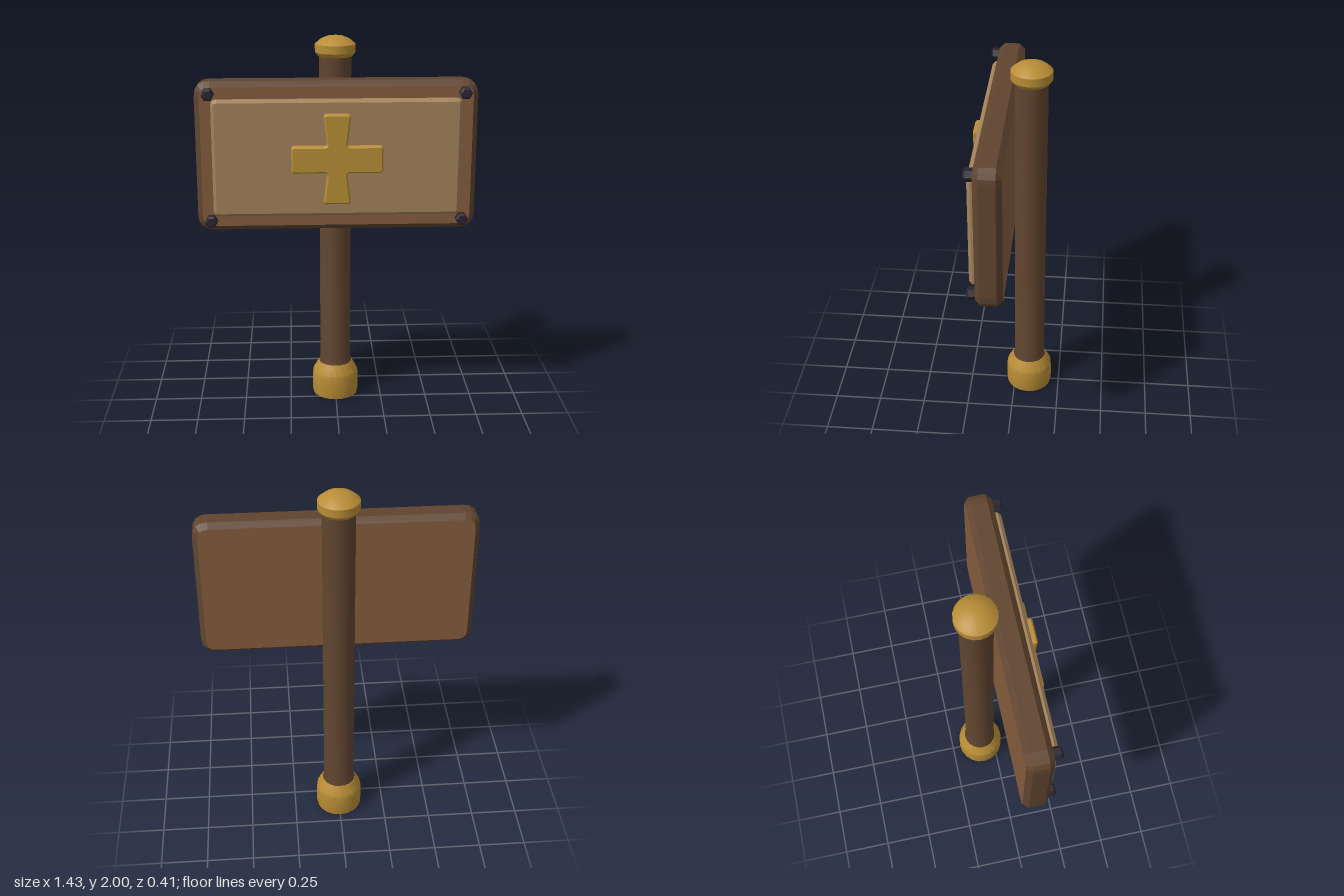
import * as THREE from 'three';
import { toCreasedNormals } from 'three/addons/utils/BufferGeometryUtils.js';

const material = (name, color) => {
  const m = new THREE.MeshStandardMaterial({ color });
  m.name = name;
  return m;
};

// Closed outline with every corner rounded
function roundedOutline(corners, radius) {
  const pts = corners.map(([x, y]) => new THREE.Vector2(x, y));
  const toward = (a, b) => b.clone().sub(a).setLength(radius).add(a);
  const shape = new THREE.Shape();
  pts.forEach((p, i) => {
    const start = toward(p, pts[(i + pts.length - 1) % pts.length]);
    const end = toward(p, pts[(i + 1) % pts.length]);
    if (i === 0) shape.moveTo(start.x, start.y);
    else shape.lineTo(start.x, start.y);
    shape.quadraticCurveTo(p.x, p.y, end.x, end.y);
  });
  shape.closePath();
  return shape;
}

const rectangle = (w, h) => [[-w, -h], [w, -h], [w, h], [-w, h]];

// Bevelled slab from z = back to z = front; the bevel stays inside the outline
function slab(shape, back, front, bevel, curveSegments) {
  const geometry = new THREE.ExtrudeGeometry(shape, {
    depth: front - back - 2 * bevel, bevelEnabled: true, bevelThickness: bevel,
    bevelSize: bevel, bevelOffset: -bevel, bevelSegments: 1, curveSegments,
  });
  return geometry.translate(0, 0, back + bevel);
}

const turned = (profile, segments) => toCreasedNormals(
  new THREE.LatheGeometry(profile.map(([r, y]) => new THREE.Vector2(r, y)), segments), 0.5);

export function createModel() {
  const darkWood = material('dark wood', 0x60442f);
  const midWood = material('mid wood', 0x845c3d);
  const paleWood = material('pale wood', 0xa3825a);
  const gold = material('gold', 0xb88d35);
  const iron = material('iron', 0x2b2430);

  const model = new THREE.Group();
  model.name = 'signpost';
  const add = (name, geometry, mat, x = 0, y = 0, z = 0) => {
    const mesh = new THREE.Mesh(geometry, mat);
    mesh.name = name;
    mesh.position.set(x, y, z);
    model.add(mesh);
  };

  // Post with its foot and cap
  const postZ = -0.08;
  add('post', turned([[0.092, 0.18], [0.09, 0.19], [0.083, 0.22], [0.083, 1.91]], 20), darkWood, 0, 0, postZ);
  add('foot', turned([[0, 0], [0.122, 0], [0.126, 0.02], [0.126, 0.1], [0.123, 0.135],
    [0.092, 0.19], [0.08, 0.19]], 20), gold, 0, 0, postZ);
  add('cap', turned([[0, 1.895], [0.09, 1.895], [0.105, 1.915], [0.105, 1.957],
    [0.075, 1.982], [0.04, 1.996], [0, 2]], 20), gold, 0, 0, postZ);

  // Board: mid wood faces with a dark rim
  const boardY = 1.413;
  add('board', slab(roundedOutline(rectangle(0.716, 0.388), 0.08), 0.003, 0.138, 0.027, 4),
    [midWood, darkWood], 0, boardY);
  add('panel', slab(roundedOutline(rectangle(0.632, 0.303), 0.03), 0.13, 0.173, 0.016, 3),
    paleWood, 0, boardY);

  // Flared cross emblem: one arm's corners turned through four quarters
  const corners = [
    [-0.232, -0.07], [-0.05, -0.068], [-0.07, -0.232], [0.07, -0.232], [0.05, -0.068], [0.232, -0.07],
    [0.232, 0.07], [0.05, 0.068], [0.07, 0.232], [-0.07, 0.232], [-0.05, 0.068], [-0.232, 0.07],
  ];
  add('emblem', slab(roundedOutline(corners, 0.016), 0.165, 0.207, 0.008, 2), gold, 0, boardY);

  // Hexagonal corner bolts
  const hexagon = new THREE.Shape(Array.from({ length: 6 }, (_, i) =>
    new THREE.Vector2(Math.cos(i * Math.PI / 3), Math.sin(i * Math.PI / 3)).multiplyScalar(0.033)));
  const boltGeometry = slab(hexagon, 0.12, 0.182, 0.009, 1);
  for (const x of [-1, 1]) for (const y of [-1, 1]) {
    add('bolt', boltGeometry, iron, x * 0.645, boardY + y * 0.329);
  }
  return model;
}
